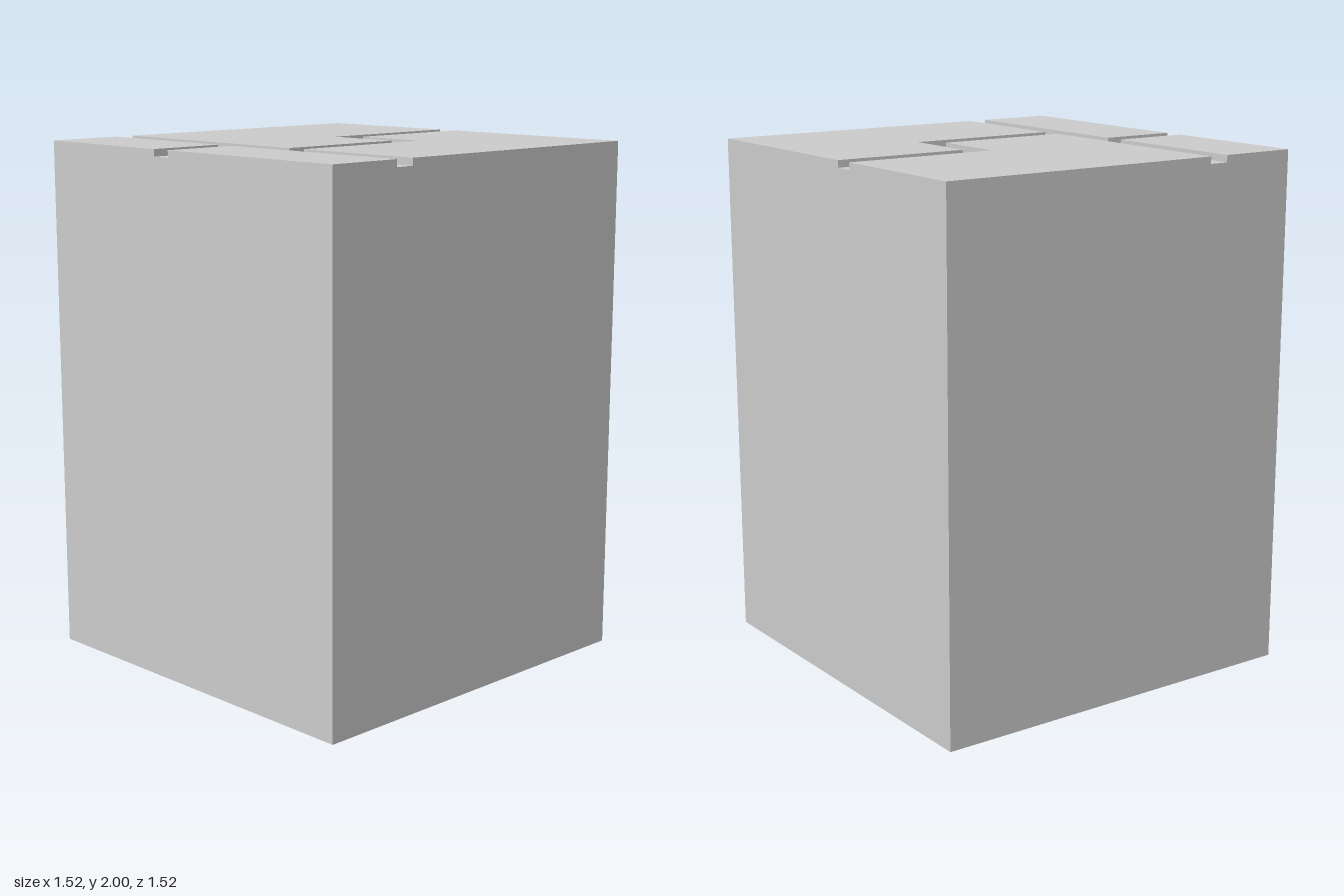
import * as THREE from 'three';

const HALF = 0.76;    // half width and depth of the block
const HEIGHT = 2;
const GROOVE = 0.027; // groove depth

// Plates on top, as [x, z] outlines; the gaps between them form the grooves
const PLATES = {
  backRightPlate: [[-HALF, -HALF], [-0.458, -HALF], [-0.458, -0.154], [-HALF, -0.154]],
  frontRightPlate: [[-HALF, -0.077], [-0.458, -0.077], [-0.458, HALF], [-HALF, HALF]],
  backLeftPlate: [[-0.381, -HALF], [HALF, -HALF], [HALF, -0.154], [0.15, -0.154], [0.15, 0.15], [-0.381, 0.15]],
  frontLeftPlate: [[-0.381, 0.227], [0.227, 0.227], [0.227, -0.077], [HALF, -0.077], [HALF, HALF], [-0.381, HALF]],
};

export function createModel() {
  const group = new THREE.Group();
  group.name = 'groovedBlock';
  const material = new THREE.MeshStandardMaterial({ color: 0xcccccc, flatShading: true });

  // Solid block up to the groove floor
  const bodyHeight = HEIGHT - GROOVE;
  const body = new THREE.Mesh(new THREE.BoxGeometry(2 * HALF, bodyHeight, 2 * HALF), material);
  body.name = 'blockBody';
  body.position.y = bodyHeight / 2;
  group.add(body);

  // Raised plates flush with the block sides
  for (const [name, outline] of Object.entries(PLATES)) {
    const shape = new THREE.Shape(outline.map(([x, z]) => new THREE.Vector2(x, -z)));
    const geometry = new THREE.ExtrudeGeometry(shape, { depth: GROOVE, bevelEnabled: false });
    geometry.rotateX(-Math.PI / 2);
    const plate = new THREE.Mesh(geometry, material);
    plate.name = name;
    plate.position.y = bodyHeight;
    group.add(plate);
  }
  return group;
}
